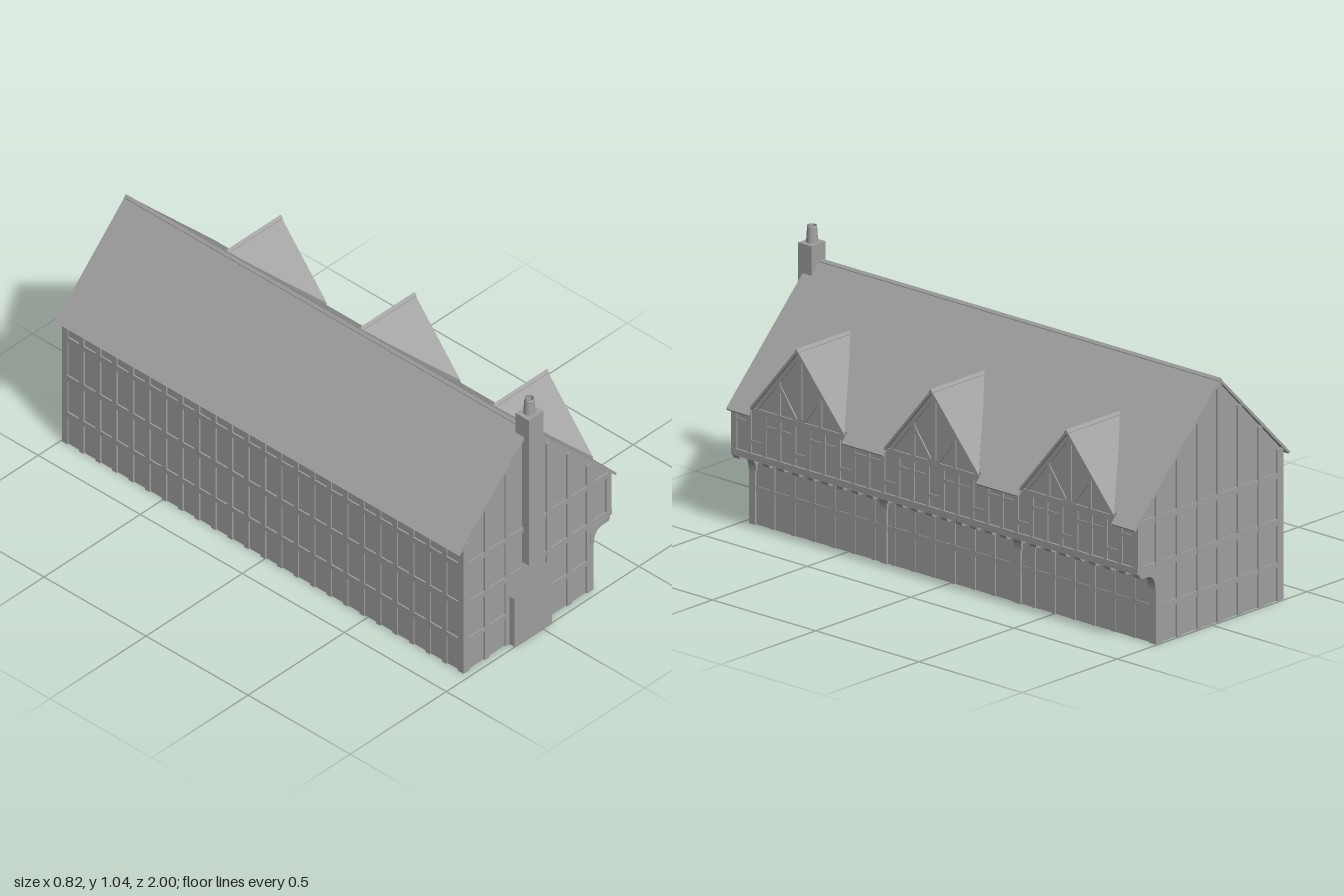
import * as THREE from 'three';

const GREY = 0x9f9f9f;
const mat = new THREE.MeshStandardMaterial({ color: GREY, flatShading: true });
const thin = new THREE.MeshStandardMaterial({ color: GREY, flatShading: true, side: THREE.DoubleSide });
const round = new THREE.MeshStandardMaterial({ color: GREY, side: THREE.DoubleSide });

// Main dimensions
const FRONT = 0.967, BACK = -0.988, LEFT = -0.376, RIGHT = 0.284, JETTY = 0.38;
const RIDGE = { x: -0.045, y: 0.919 };
const ROOF_FRONT = 0.977, ROOF_BACK = -1;
const DORMERS = [0.645, -0.005, -0.66], HALF = 0.227;
const RAILS = [[0.135, 0.02], [0.297, 0.025], [0.472, 0.022]];
const roofY = x => RIDGE.y - Math.abs(x - RIDGE.x) * (x < RIDGE.x ? 1.002 : 1.008);
const polygon = points => new THREE.Shape(points.map(p => new THREE.Vector2(...p)));

export function createModel() {
  const house = new THREE.Group();
  house.name = 'house';

  const group = name => {
    const g = new THREE.Group();
    g.name = name;
    house.add(g);
    return g;
  };
  const add = (parent, name, geometry, material = mat) => {
    const m = new THREE.Mesh(geometry, material);
    m.name = name;
    parent.add(m);
    return m;
  };
  // Box given by its two extreme corners
  const box = (parent, name, x0, x1, y0, y1, z0, z1) => {
    const m = add(parent, name, new THREE.BoxGeometry(x1 - x0, y1 - y0, z1 - z0));
    m.position.set((x0 + x1) / 2, (y0 + y1) / 2, (z0 + z1) / 2);
    return m;
  };
  // Cross-section in x and y swept from z0 to z1
  const sweep = (shape, z0, z1) =>
    new THREE.ExtrudeGeometry(shape, { depth: z1 - z0, bevelEnabled: false, curveSegments: 8 })
      .translate(0, 0, z0);

  // Walls, open at the ground
  const shell = sweep(polygon([[LEFT, 0], [RIGHT, 0], [RIGHT, 0.285], [JETTY, 0.285], [JETTY, 0.475],
    [RIDGE.x, 0.905], [LEFT, 0.57]]), BACK, FRONT);
  const src = shell.attributes.position.array, kept = [];
  for (let i = 0; i < src.length; i += 9) {
    if (Math.max(src[i + 1], src[i + 4], src[i + 7]) > 1e-4) kept.push(...src.slice(i, i + 9));
  }
  const open = new THREE.BufferGeometry();
  open.setAttribute('position', new THREE.Float32BufferAttribute(kept, 3));
  open.computeVertexNormals();
  add(house, 'walls', open, thin);

  // Main roof, its ridge capping, and the eaves between the dormers
  const roof = group('roof');
  const T = 0.014, lx = -0.412, rx = 0.379, ex = 0.41;
  add(roof, 'roofSlopes', sweep(polygon([[lx, roofY(lx)], [lx + 0.007, roofY(lx) - 0.007],
    [RIDGE.x, RIDGE.y - T], [rx, roofY(rx) - T], [rx, roofY(rx)], [RIDGE.x, RIDGE.y]]), ROOF_BACK, ROOF_FRONT));
  const cap = (x, y, slopeRate) => polygon([[x - 0.009, y - 0.009 * slopeRate - 0.002],
    [x + 0.009, y - 0.009 * slopeRate - 0.002], [x + 0.009, y - 0.009 * slopeRate + 0.003], [x, y + 0.003],
    [x - 0.009, y - 0.009 * slopeRate + 0.003]]);
  add(roof, 'ridgeCap', sweep(cap(RIDGE.x, RIDGE.y, 1), ROOF_BACK, ROOF_FRONT));
  const eave = polygon([[rx, roofY(rx)], [rx, roofY(rx) - T], [ex - 0.007, roofY(ex) - 0.007], [ex, roofY(ex)]]);
  const cuts = [ROOF_FRONT, ...DORMERS.flatMap(z => [z + HALF, z - HALF]), ROOF_BACK];
  for (let i = 0; i < cuts.length; i += 2) add(roof, 'eave', sweep(eave, cuts[i + 1], cuts[i]));

  // End wall timbers, front and back
  for (const [name, z0, z1] of [['frontTimbers', FRONT - 0.02, FRONT + 0.007],
    ['backTimbers', BACK - 0.007, BACK + 0.02]]) {
    const g = group(name);
    for (let i = 0; i <= 6; i++) {
      const x = -0.367 + i * 0.107, w = i % 6 ? 0.011 : 0.016;
      const top = Math.min(roofY(x - w), roofY(x + w)) - 0.008;
      box(g, 'stud', x - w, x + w, 0, top, z0, z1);
    }
    box(g, 'jettyPost', 0.36, 0.386, 0.285, 0.475, z0, z1);
    RAILS.forEach(([y, h], i) =>
      box(g, 'rail', -0.382, i ? 0.385 : 0.29, y - h / 2, y + h / 2, z0 + 0.001, z1 - 0.001));
  }

  // Left wall timbers
  const left = group('leftTimbers');
  const zAt = (i, n) => FRONT - 0.008 + (BACK - FRONT + 0.016) * i / n;
  for (let i = 0; i <= 24; i++) {
    const z = zAt(i, 24);
    box(left, 'stud', LEFT - 0.007, LEFT + 0.02, 0, 0.565, z - 0.011, z + 0.011);
  }
  for (const [y, h] of RAILS) {
    box(left, 'rail', LEFT - 0.006, LEFT + 0.02, y - h / 2, y + h / 2, BACK, FRONT);
  }

  // Right ground floor timbers
  const right = group('rightTimbers');
  for (let i = 0; i <= 20; i++) {
    const z = zAt(i, 20);
    box(right, 'stud', RIGHT - 0.02, RIGHT + 0.004, 0, 0.285, z - 0.01, z + 0.01);
  }
  box(right, 'rail', RIGHT - 0.02, RIGHT + 0.003, 0.125, 0.145, BACK, FRONT);

  // Jettied upper floor timbers, with short rails at two heights
  const jetty = group('jettyTimbers');
  box(jetty, 'sillBeam', JETTY - 0.02, JETTY + 0.008, 0.285, 0.31, BACK - 0.006, FRONT + 0.006);
  box(jetty, 'topBeam', JETTY - 0.02, JETTY + 0.006, 0.461, 0.483, BACK - 0.006, FRONT + 0.006);
  const M = 27;
  for (let i = 0; i <= M; i++) {
    const z = zAt(i, M);
    box(jetty, 'stud', JETTY - 0.02, JETTY + 0.005, 0.3, 0.47, z - 0.009, z + 0.009);
    if (i < M) {
      const y = i % 3 === 1 ? 0.35 : 0.42;
      box(jetty, 'shortRail', JETTY - 0.02, JETTY + 0.004, y - 0.008, y + 0.008, zAt(i + 1, M), z);
    }
  }

  // Round-ended joists under the jetty
  const joist = new THREE.Shape();
  joist.moveTo(0.27, 0.265);
  joist.lineTo(0.362, 0.265);
  joist.quadraticCurveTo(0.378, 0.267, 0.378, 0.288);
  joist.lineTo(0.27, 0.288);
  const joistGeometry = sweep(joist, -0.016, 0.016);
  for (let i = 0; i <= M; i++) add(jetty, 'joist', joistGeometry).position.z = zAt(i, M);

  // Posts with curved brackets
  const bracket = new THREE.Shape();
  bracket.moveTo(0.275, 0.205);
  bracket.lineTo(0.292, 0.205);
  bracket.quadraticCurveTo(0.294, 0.263, 0.335, 0.265);
  bracket.lineTo(0.335, 0.28);
  bracket.lineTo(0.275, 0.28);
  const bracketGeometry = sweep(bracket, -0.018, 0.018);
  for (const z of [0.957, 0.322, -0.328, -0.977]) {
    box(jetty, 'post', 0.264, 0.292, 0, 0.28, z - 0.014, z + 0.014);
    add(jetty, 'bracket', bracketGeometry).position.z = z;
  }

  // Dormers: triangular roof slopes, ridge capping, framed gable
  const slope = side => {
    const top = [[0.11, 0.757, 0], [0.398, 0.757, 0], [0.395, 0.487, side * (HALF + 0.002)]];
    const pts = [...top, ...top.map(([x, y, z]) => [x, y - 0.014, z])];
    const faces = [0, 2, 1, 3, 4, 5, 0, 1, 4, 0, 4, 3, 1, 2, 5, 1, 5, 4, 2, 0, 3, 2, 3, 5];
    if (side < 0) faces.reverse();
    const g = new THREE.BufferGeometry();
    g.setAttribute('position', new THREE.Float32BufferAttribute(faces.flatMap(i => pts[i]), 3));
    g.computeVertexNormals();
    return g;
  };
  const slopes = [slope(1), slope(-1)];
  const dormerCap = sweep(cap(0, 0.757, 1.18), 0.12, 0.4).rotateY(Math.PI / 2);
  const gable = new THREE.BufferGeometry();
  gable.setAttribute('position', new THREE.Float32BufferAttribute(
    [JETTY, 0.475, HALF, JETTY, 0.475, -HALF, JETTY, 0.75, 0], 3));
  gable.computeVertexNormals();
  for (const z of DORMERS) {
    const d = group('dormer');
    d.position.z = z;
    slopes.forEach(s => add(d, 'dormerRoof', s));
    add(d, 'dormerRidgeCap', dormerCap);
    add(d, 'gableWall', gable, thin);
    // Timber between two points (z, y) on the gable
    const strut = (name, z0, y0, z1, y1, w) => {
      const m = add(d, name, new THREE.BoxGeometry(0.016, Math.hypot(z1 - z0, y1 - y0), w));
      m.position.set(JETTY - 0.003, (y0 + y1) / 2, (z0 + z1) / 2);
      m.rotation.x = Math.atan2(z1 - z0, y1 - y0);
    };
    strut('kingPost', 0, 0.475, 0, 0.735, 0.022);
    for (const s of [1, -1]) {
      strut('gableRafter', s * 0.208, 0.485, s * 0.006, 0.727, 0.018);
      strut('gableBrace', s * 0.015, 0.48, s * 0.105, 0.6, 0.016);
      strut('gableStud', s * 0.1, 0.475, s * 0.1, 0.615, 0.016);
    }
  }

  // Chimney with a tapered breast, square stack and hollow pot
  const chimney = group('chimney');
  add(chimney, 'breast', sweep(polygon([[-0.145, 0], [0.05, 0], [0.05, 0.215], [0.005, 0.325], [0.005, 0.979],
    [-0.071, 0.979], [-0.071, 0.325], [-0.145, 0.215]]), 0.965, 1));
  box(chimney, 'stack', -0.071, 0.005, 0.86, 0.98, 0.935, 0.999);
  const pot = [[0.022, 0.978], [0.018, 1.038], [0.018, 1.043], [0.013, 1.043], [0.013, 0.985], [0, 0.985]];
  add(chimney, 'pot', new THREE.LatheGeometry(pot.map(p => new THREE.Vector2(...p)), 24), round)
    .position.set(-0.033, 0, 0.966);

  return house;
}
